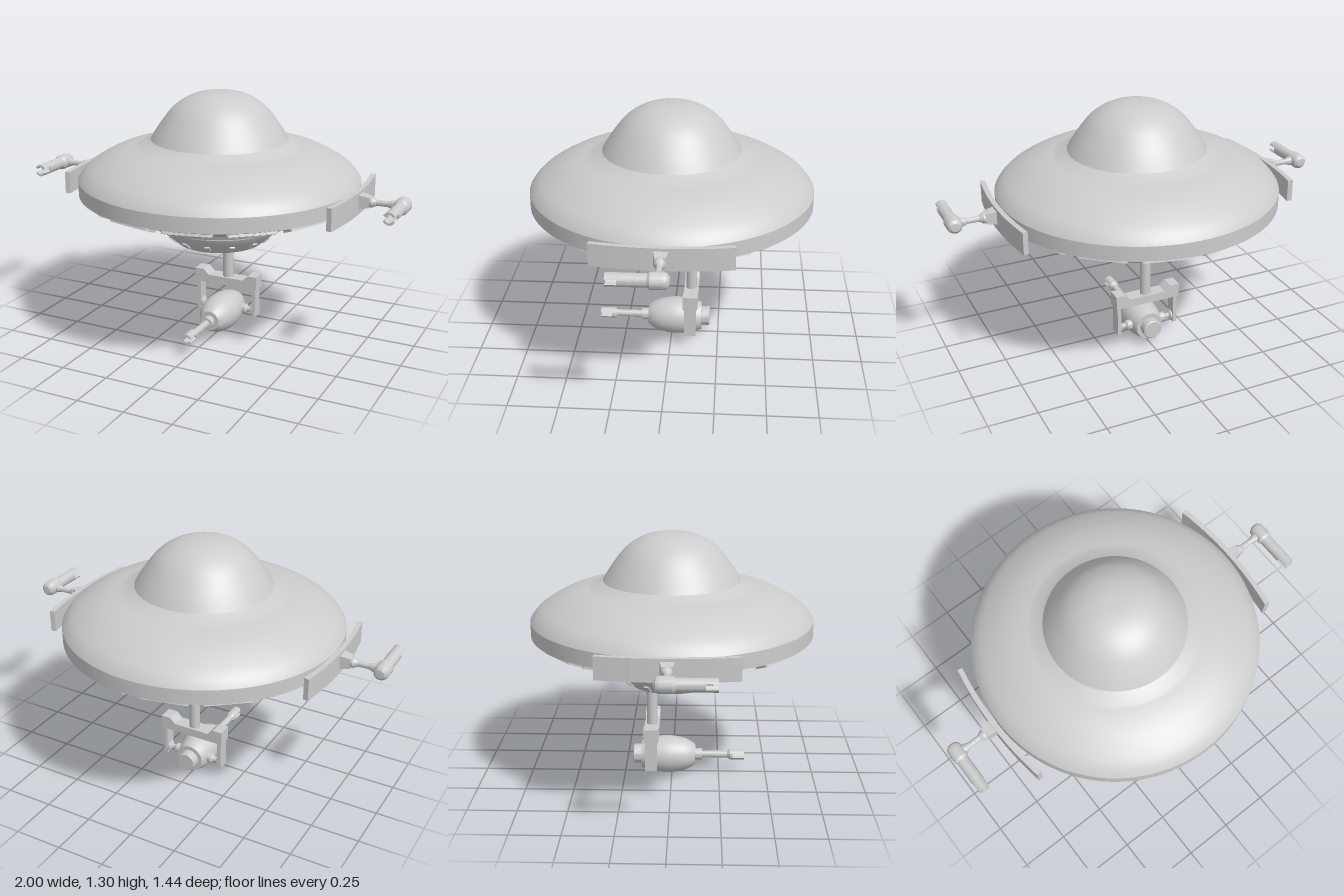
import * as THREE from 'three';
import { toCreasedNormals } from 'three/addons/utils/BufferGeometryUtils.js';

const hullGrey = new THREE.MeshStandardMaterial({ color: 0xcccccc });
hullGrey.name = 'hullGrey';

const vec = (points) => points.map(([x, y]) => new THREE.Vector2(x, y));
const spline = (points, n) => new THREE.SplineCurve(vec(points)).getPoints(n);

export function createModel() {
  const model = new THREE.Group();
  model.name = 'saucer';

  function add(name, geometry, x = 0, y = 0, z = 0, parent = model) {
    const mesh = new THREE.Mesh(geometry, hullGrey);
    mesh.name = name;
    mesh.position.set(x, y, z);
    parent.add(mesh);
    return mesh;
  }

  // Turned part with creased edges; profile is [radius, height], bottom to top
  const turned = (points, sides = 32, crease = 0.4) =>
    toCreasedNormals(new THREE.LatheGeometry(points, sides), crease);

  const extrude = (shape, depth, curveSegments = 8) =>
    new THREE.ExtrudeGeometry(shape, { depth, bevelEnabled: false, curveSegments });

  // Hull: bottom socket, tub, under-cone, rim, shell, collar and dome
  const shell = spline([[0.72, 0.865], [0.70, 0.893], [0.66, 0.93], [0.565, 0.985], [0.48, 1.015], [0.41, 1.03]], 14);
  const dome = spline([[0.35, 1.06], [0.32, 1.11], [0.285, 1.16], [0.245, 1.21], [0.2, 1.248], [0.14, 1.28], [0.07, 1.297], [0, 1.3]], 20);
  dome[dome.length - 1].x = 0;
  add('hull', turned([
    ...vec([[0, 0.58], [0.12, 0.58], [0.12, 0.52], [0.225, 0.52], [0.3, 0.587], [0.315, 0.615],
      [0.315, 0.65], [0.4, 0.65], [0.41, 0.67], [0.72, 0.79]]),
    ...shell, ...dome,
  ], 96));

  // Stand a part on a downward cone: local y runs up the slope, local z points out
  function placeOnCone(mesh, radius, y, slope, angle) {
    const c = Math.cos(angle), s = Math.sin(angle);
    const up = new THREE.Vector3(c * Math.cos(slope), Math.sin(slope), s * Math.cos(slope));
    const out = new THREE.Vector3(c * Math.sin(slope), -Math.cos(slope), s * Math.sin(slope));
    const side = new THREE.Vector3().crossVectors(up, out);
    mesh.quaternion.setFromRotationMatrix(new THREE.Matrix4().makeBasis(side, up, out));
    mesh.position.set(c * radius, y, s * radius);
  }

  // Rounded window outline, wider at the top
  function windowOutline(Type, inset) {
    const a = 0.108 - inset, b = 0.125 - inset, h = 0.045 - inset, r = 0.025 - inset * 0.6;
    const p = new Type();
    p.moveTo(-a + r, -h);
    p.lineTo(a - r, -h);
    p.quadraticCurveTo(a, -h, a + r * 0.2, -h + r);
    p.lineTo(b - r * 0.2, h - r);
    p.quadraticCurveTo(b, h, b - r, h);
    p.lineTo(-b + r, h);
    p.quadraticCurveTo(-b, h, -b + r * 0.2, h - r);
    p.lineTo(-a - r * 0.2, -h + r);
    p.quadraticCurveTo(-a, -h, -a + r, -h);
    return p;
  }
  const frameShape = windowOutline(THREE.Shape, 0);
  frameShape.holes.push(windowOutline(THREE.Path, 0.011));
  const frameGeometry = extrude(frameShape, 0.016, 5).translate(0, 0, -0.006);
  const ventGeometry = new THREE.BoxGeometry(0.026, 0.045, 0.016);

  // Ring of window frames and ring of tub vents
  for (let i = 0; i < 14; i++) {
    const angle = (i / 14) * Math.PI * 2;
    placeOnCone(add('windowFrame', frameGeometry), 0.64, 0.759, Math.atan2(0.12, 0.31), angle);
    placeOnCone(add('tubVent', ventGeometry), 0.264, 0.555, Math.atan2(0.067, 0.075), angle);
  }

  // Split muzzle: upper and lower ring sectors, pointing along +z
  function addMuzzle(parent, outer, inner, start, length) {
    for (const middle of [Math.PI / 2, -Math.PI / 2]) {
      const shape = new THREE.Shape();
      shape.absarc(0, 0, outer, middle - 1.15, middle + 1.15, false);
      shape.absarc(0, 0, inner, middle + 1.15, middle - 1.15, true);
      add('muzzleProng', toCreasedNormals(extrude(shape, length, 10), 0.5), 0, 0, start, parent);
    }
  }

  // Side weapons: curved shield plate, bracket, arm and cannon
  const plateShape = new THREE.Shape();
  const R = 1.85, half = Math.asin(0.333 / R);
  plateShape.absarc(0.755 - R, 0, R, -half, half, false);
  plateShape.absarc(0.755 - R, 0, R - 0.026, half, -half, true);
  const plateGeometry = extrude(plateShape, 0.112, 6).rotateX(Math.PI / 2);

  const bracketGeometry = new THREE.CylinderGeometry(0.036, 0.05, 0.06, 4).toNonIndexed()
    .rotateY(Math.PI / 4).rotateZ(-Math.PI / 2);
  bracketGeometry.computeVertexNormals();

  const armGeometry = turned(vec([[0, 0.79], [0.027, 0.79], [0.027, 0.815], [0.015, 0.835], [0.014, 0.89],
    [0.022, 0.915], [0.022, 0.95], [0, 0.95]]), 16).rotateZ(-Math.PI / 2);
  const cannonGeometry = turned(vec([[0, -0.055], [0.022, -0.053], [0.034, -0.043], [0.039, -0.028], [0.039, 0.03],
    [0.031, 0.042], [0.031, 0.17], [0.02, 0.17], [0.02, 0.1], [0, 0.1]]), 24).rotateX(Math.PI / 2);

  for (const side of [1, -1]) {
    const mount = new THREE.Group();
    mount.name = side > 0 ? 'leftMount' : 'rightMount';
    mount.rotation.y = side > 0 ? 0 : Math.PI;
    model.add(mount);
    add('shieldPlate', plateGeometry, 0, 0.876, 0, mount);
    add('mountBracket', bracketGeometry, 0.775, 0.828, 0, mount);
    add('mountArm', armGeometry, 0, 0.828, 0, mount);

    const cannon = new THREE.Group();
    cannon.name = side > 0 ? 'leftCannon' : 'rightCannon';
    cannon.position.set(side * 0.961, 0.828, 0);
    model.add(cannon);
    add('cannonBody', cannonGeometry, 0, 0, 0, cannon);
    addMuzzle(cannon, 0.031, 0.02, 0.17, 0.053);
  }

  // Hanging post and yoke
  const postZ = -0.105;
  add('post', new THREE.CylinderGeometry(0.028, 0.028, 0.32, 24), 0, 0.43, postZ);
  const yokeShape = new THREE.Shape(vec([[-0.18, 0.232], [0.18, 0.232], [0.18, 0.305], [0.13, 0.305], [0.1, 0.276],
    [-0.1, 0.276], [-0.13, 0.305], [-0.18, 0.305]]));
  add('yoke', extrude(yokeShape, 0.076), 0, 0, postZ - 0.038);

  // Yoke legs and pivot pins
  const pinGeometry = turned(vec([[0, 0.07], [0.026, 0.07], [0.026, 0.108], [0.014, 0.118], [0.014, 0.136],
    [0.027, 0.145], [0.027, 0.155], [0, 0.155]]), 20);
  for (const side of [1, -1]) {
    add('yokeLeg', new THREE.BoxGeometry(0.02, 0.165, 0.062), side * 0.162, 0.156, postZ);
    add('pivotPin', pinGeometry.clone().rotateZ(-side * Math.PI / 2), 0, 0.102, postZ);
  }

  // Belly gun: rear cap, rounded body, neck and thin barrel
  const belly = new THREE.Group();
  belly.name = 'bellyGun';
  belly.position.y = 0.1;
  model.add(belly);
  const body = spline([[0.073, -0.16], [0.089, -0.11], [0.098, -0.05], [0.098, 0], [0.087, 0.06], [0.07, 0.1], [0.052, 0.125]], 18);
  add('bellyGunBody', turned([
    ...vec([[0, -0.205], [0.046, -0.205], [0.051, -0.2], [0.051, -0.16]]),
    ...body,
    ...vec([[0.03, 0.125], [0.03, 0.162], [0.018, 0.162], [0.018, 0.295], [0.028, 0.31], [0.028, 0.325],
      [0.016, 0.325], [0.016, 0.3], [0, 0.3]]),
  ], 40).rotateX(Math.PI / 2), 0, 0, 0, belly);
  addMuzzle(belly, 0.028, 0.016, 0.325, 0.06);

  return model;
}
